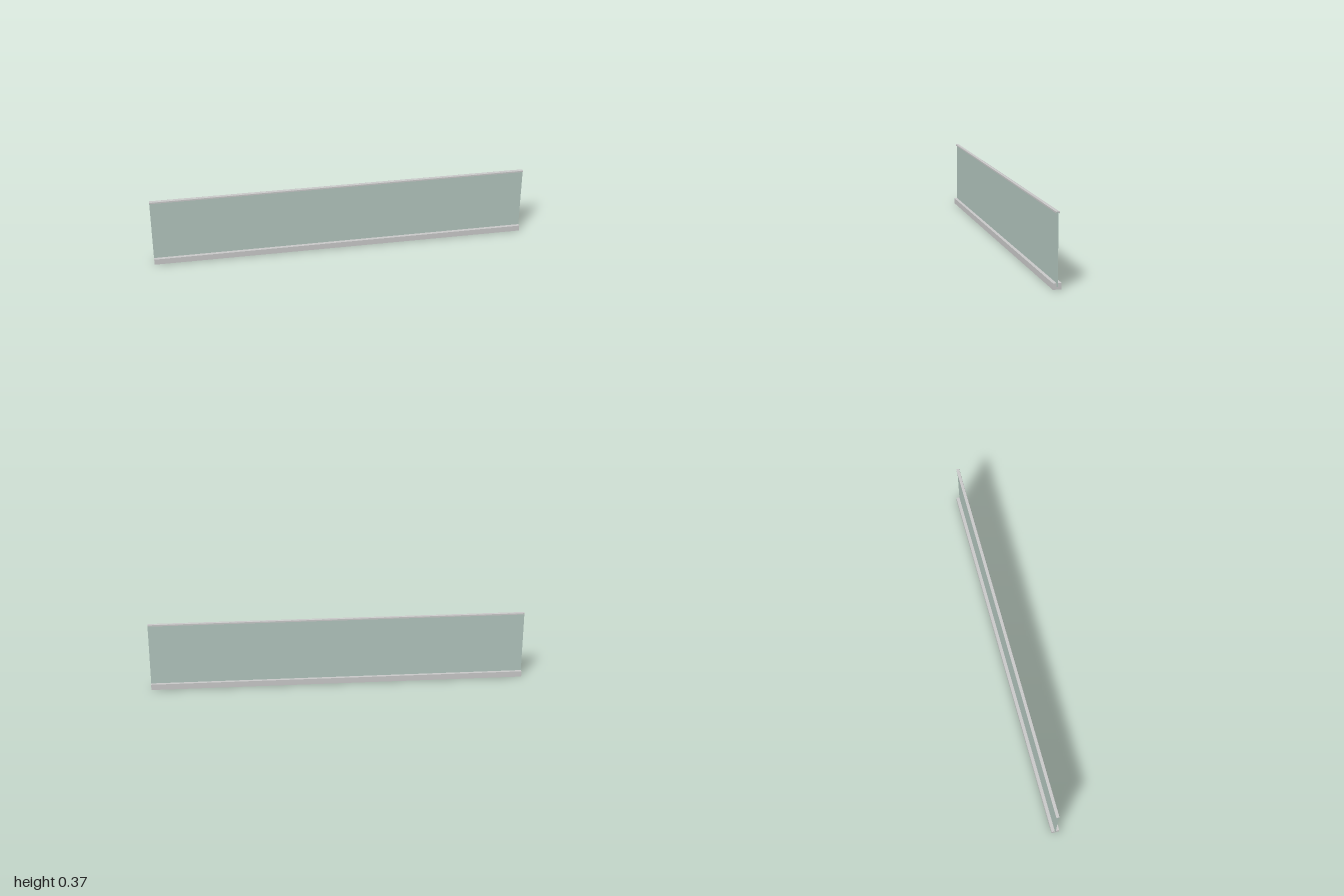
import * as THREE from 'three';

const LENGTH = 2;

// Extrudes a z-y cross-section along the full length in x
function rail(name, points, material) {
  const shape = new THREE.Shape(points.map(([z, y]) => new THREE.Vector2(z, y)));
  const geometry = new THREE.ExtrudeGeometry(shape, { depth: LENGTH, bevelEnabled: false });
  geometry.translate(0, 0, -LENGTH / 2).rotateY(Math.PI / 2);
  const mesh = new THREE.Mesh(geometry, material);
  mesh.name = name;
  return mesh;
}

// Completes a symmetric section from its right half, listed bottom to top
const mirrored = (half) => [...half, ...half.map(([z, y]) => [-z, y]).reverse()];

export function createModel() {
  const group = new THREE.Group();
  group.name = 'glassBalustrade';
  const metal = new THREE.MeshStandardMaterial({ color: 0xcccccc });
  const glass = new THREE.MeshStandardMaterial({ color: 0xb4c8c0 });

  // Floor channel with a narrow slot that holds the glass
  group.add(rail('baseChannel', [
    [-0.0205, 0], [0.0205, 0], [0.0205, 0.031], [0.0032, 0.031],
    [0.0032, 0.012], [-0.0032, 0.012], [-0.0032, 0.031], [-0.0205, 0.031],
  ], metal));

  // Glass panel, from the slot floor up into the cap
  const panel = new THREE.Mesh(new THREE.BoxGeometry(LENGTH, 0.352, 0.0055), glass);
  panel.name = 'glassPanel';
  panel.position.y = 0.012 + 0.352 / 2;
  group.add(panel);

  // Thin U-shaped cap rail with softened top edges
  group.add(rail('capRail', mirrored([
    [0.0062, 0.364], [0.0062, 0.358], [0.0082, 0.358],
    [0.0082, 0.3655], [0.0077, 0.3667], [0.0065, 0.3672],
  ]), metal));

  return group;
}
